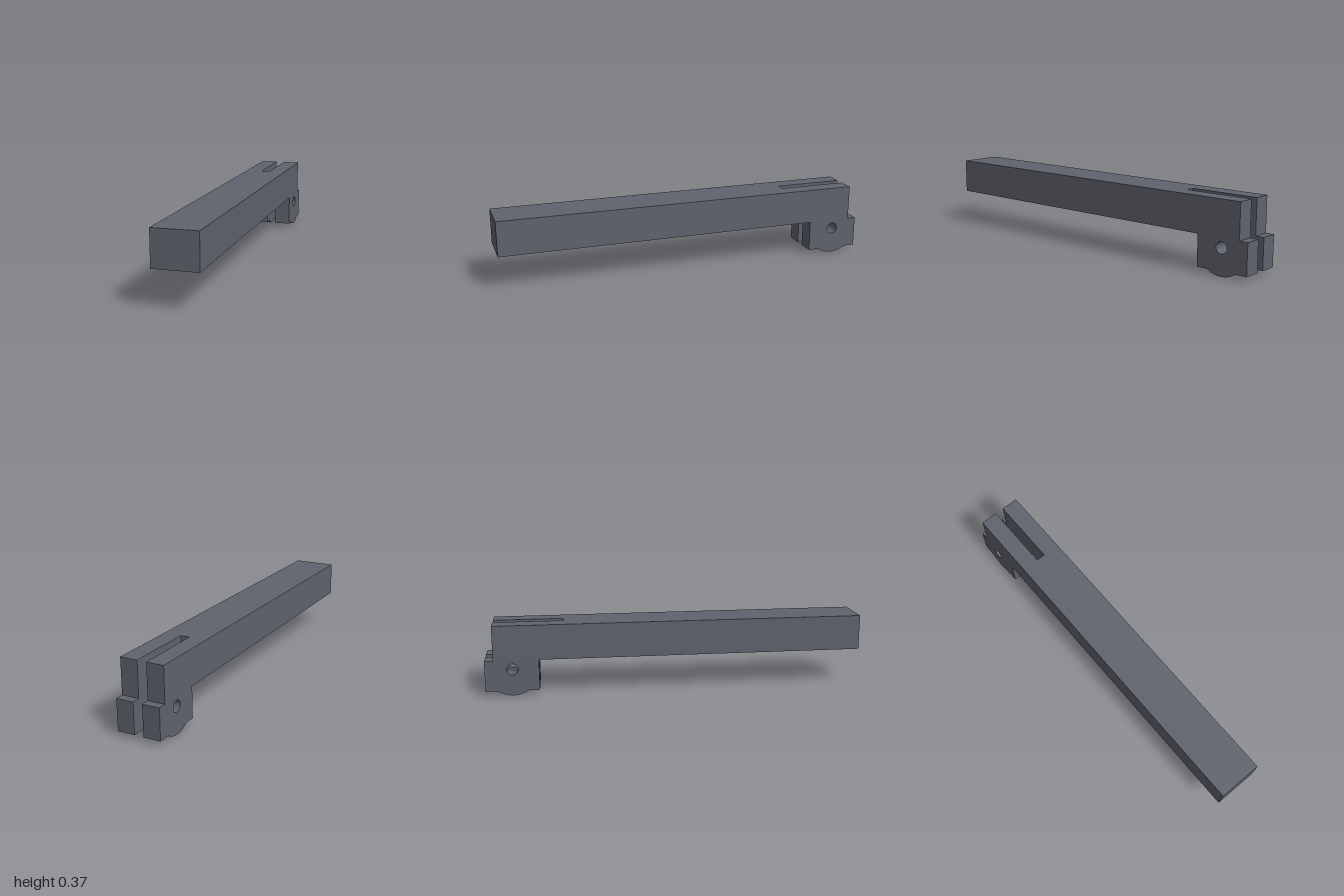
import * as THREE from 'three';

const HALF_WIDTH = 0.115, SLOT = 0.024, WALL = 0.008;
const TOP = 0.373, RIM = 0.188, SLOT_END = 0.585, BODY_BACK = 0.955;
const PIN = { u: 0.857, y: 0.14, hole: 0.03, lobe: 0.14 };

// Side outline in (u = -z, y), from a chosen front edge back to the pivot lug
function sideProfile(front, top) {
  const a = Math.asin((PIN.y - 0.025) / PIN.lobe);
  const s = new THREE.Shape();
  s.moveTo(front, RIM);
  s.lineTo(0.72, RIM);
  s.lineTo(0.72, 0.025);
  s.absarc(PIN.u, PIN.y, PIN.lobe, Math.PI + a, 2 * Math.PI - a, false);
  s.lineTo(1, 0.025);
  s.lineTo(1, RIM);
  s.lineTo(BODY_BACK, RIM);
  s.lineTo(BODY_BACK, top);
  s.lineTo(front, top);
  s.closePath();
  const hole = new THREE.Path();
  hole.absarc(PIN.u, PIN.y, PIN.hole, 0, Math.PI * 2, true);
  s.holes.push(hole);
  return s;
}

// Extrude a side outline across x from x0 to x1
function slab(shape, x0, x1) {
  const g = new THREE.ExtrudeGeometry(shape, { depth: x1 - x0, bevelEnabled: false, curveSegments: 32 });
  g.rotateY(Math.PI / 2);
  g.translate(x0, 0, 0);
  return g;
}

export function createModel() {
  const group = new THREE.Group();
  const metal = new THREE.MeshStandardMaterial({ color: 0x60636e });
  metal.name = 'dark grey metal';
  const add = (name, geometry) => {
    const mesh = new THREE.Mesh(geometry, metal);
    mesh.name = name;
    group.add(mesh);
  };

  const inner = HALF_WIDTH - WALL;
  const wallShape = sideProfile(-1, TOP);
  const cheekShape = sideProfile(SLOT_END, TOP - WALL);

  // Thin outer walls and the thick pivot cheeks behind them
  for (const [side, s] of [['left', 1], ['right', -1]]) {
    const span = (a, b) => (s > 0 ? [a, b] : [-b, -a]);
    add(side + 'Wall', slab(wallShape, ...span(inner, HALF_WIDTH)));
    add(side + 'PivotCheek', slab(cheekShape, ...span(SLOT, inner)));
  }

  // Top skin with the open slot at the back
  const top = new THREE.Shape([
    [-inner, -1], [inner, -1], [inner, BODY_BACK], [SLOT, BODY_BACK],
    [SLOT, SLOT_END], [-SLOT, SLOT_END], [-SLOT, BODY_BACK], [-inner, BODY_BACK],
  ].map(([x, u]) => new THREE.Vector2(x, u)));
  const topGeometry = new THREE.ExtrudeGeometry(top, { depth: WALL, bevelEnabled: false });
  topGeometry.rotateX(-Math.PI / 2);
  topGeometry.translate(0, TOP - WALL, 0);
  add('topSkin', topGeometry);

  // Front end wall, and the web that closes the hollow ahead of the slot
  const height = TOP - WALL - RIM;
  const crossWall = (name, z, depth) => {
    const g = new THREE.BoxGeometry(inner * 2, height, depth);
    g.translate(0, RIM + height / 2, z);
    add(name, g);
  };
  crossWall('frontWall', 1 - WALL / 2, WALL);
  crossWall('slotWeb', -SLOT_END + 0.0075, 0.015);

  return group;
}
